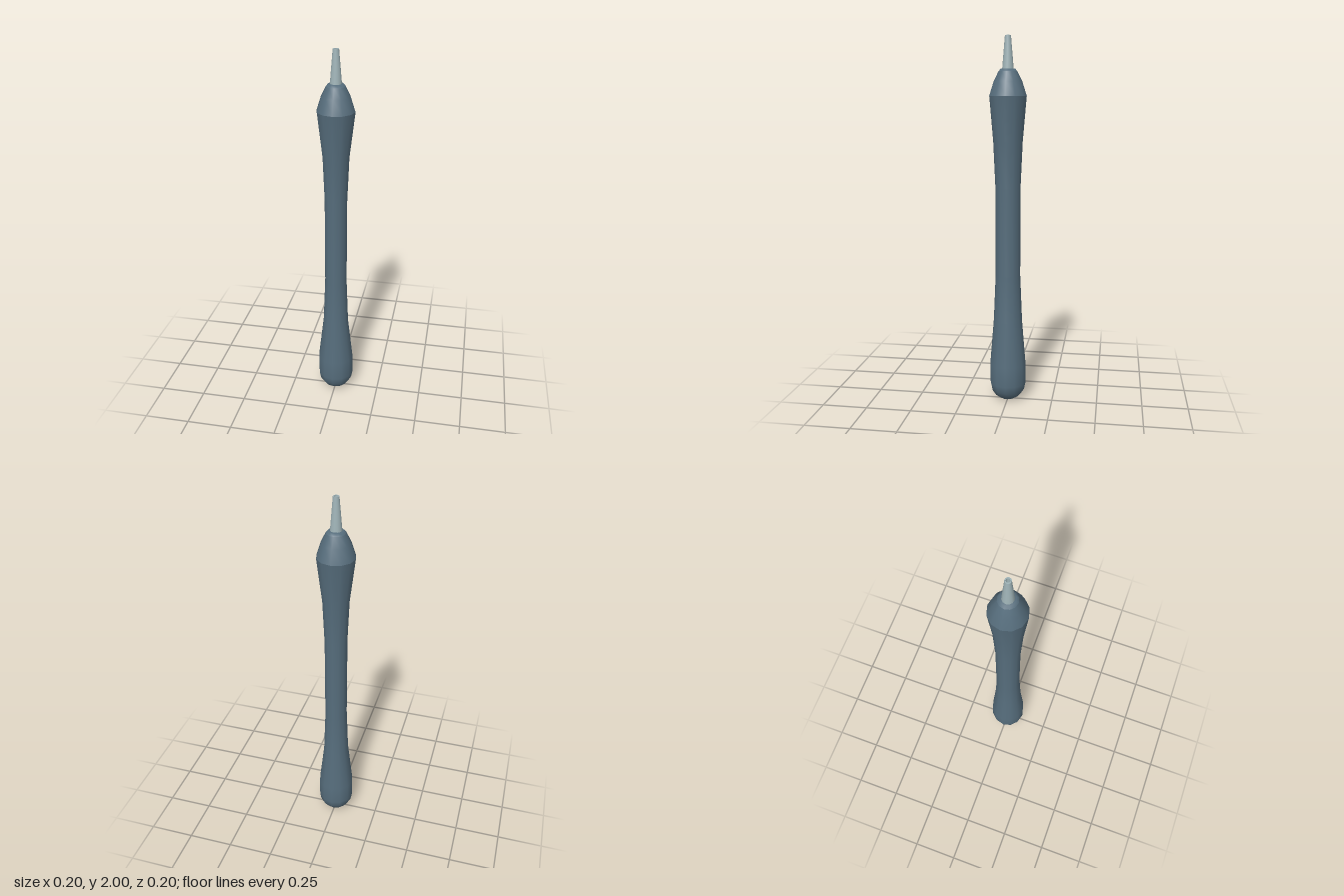
import * as THREE from 'three';

const SIDES = 12;

// Turned surface from [radius, height] pairs, listed from bottom to top
function turned(name, profile, material, sides = SIDES) {
  const points = profile.map(([r, y]) => new THREE.Vector2(r, y));
  const mesh = new THREE.Mesh(new THREE.LatheGeometry(points, sides), material);
  mesh.name = name;
  return mesh;
}

export function createModel() {
  const model = new THREE.Group();
  model.name = 'handTool';
  const slate = new THREE.MeshStandardMaterial({ color: 0x566d7c });
  slate.name = 'slate blue grip';
  const steel = new THREE.MeshStandardMaterial({ color: 0xa0b4b8 });
  steel.name = 'pale steel';

  // Waisted grip with a rounded butt
  const grip = turned('grip', [
    [0, 0], [0.035, 0.005], [0.07, 0.027], [0.092, 0.06], [0.1, 0.1], [0.1, 0.21],
    [0.071, 0.46], [0.061, 0.72], [0.061, 1.2], [0.071, 1.45], [0.1, 1.69],
  ], slate);
  // The waist is a little deeper than it is wide
  const pos = grip.geometry.attributes.position;
  for (let i = 0; i < pos.count; i++) {
    const y = pos.getY(i);
    if (y > 0.3 && y < 1.6) pos.setZ(i, pos.getZ(i) * 1.12);
  }
  model.add(grip);

  // Tapered shoulder and its shallow top
  model.add(turned('shoulder', [[0.1, 1.69], [0.076, 1.765], [0.05, 1.817]], slate));
  model.add(turned('shoulderTop', [[0.05, 1.817], [0.038, 1.83], [0, 1.83]], slate));

  // Hollow nozzle: outer cone, rim and bore
  const nozzle = new THREE.Group();
  nozzle.name = 'nozzle';
  nozzle.add(
    turned('nozzleCone', [[0.031, 1.825], [0.016, 2]], steel),
    turned('nozzleRim', [[0.016, 2], [0.01, 2]], steel),
    turned('nozzleBore', [[0.01, 2], [0.01, 1.83]], steel),
  );
  model.add(nozzle);

  return model;
}
